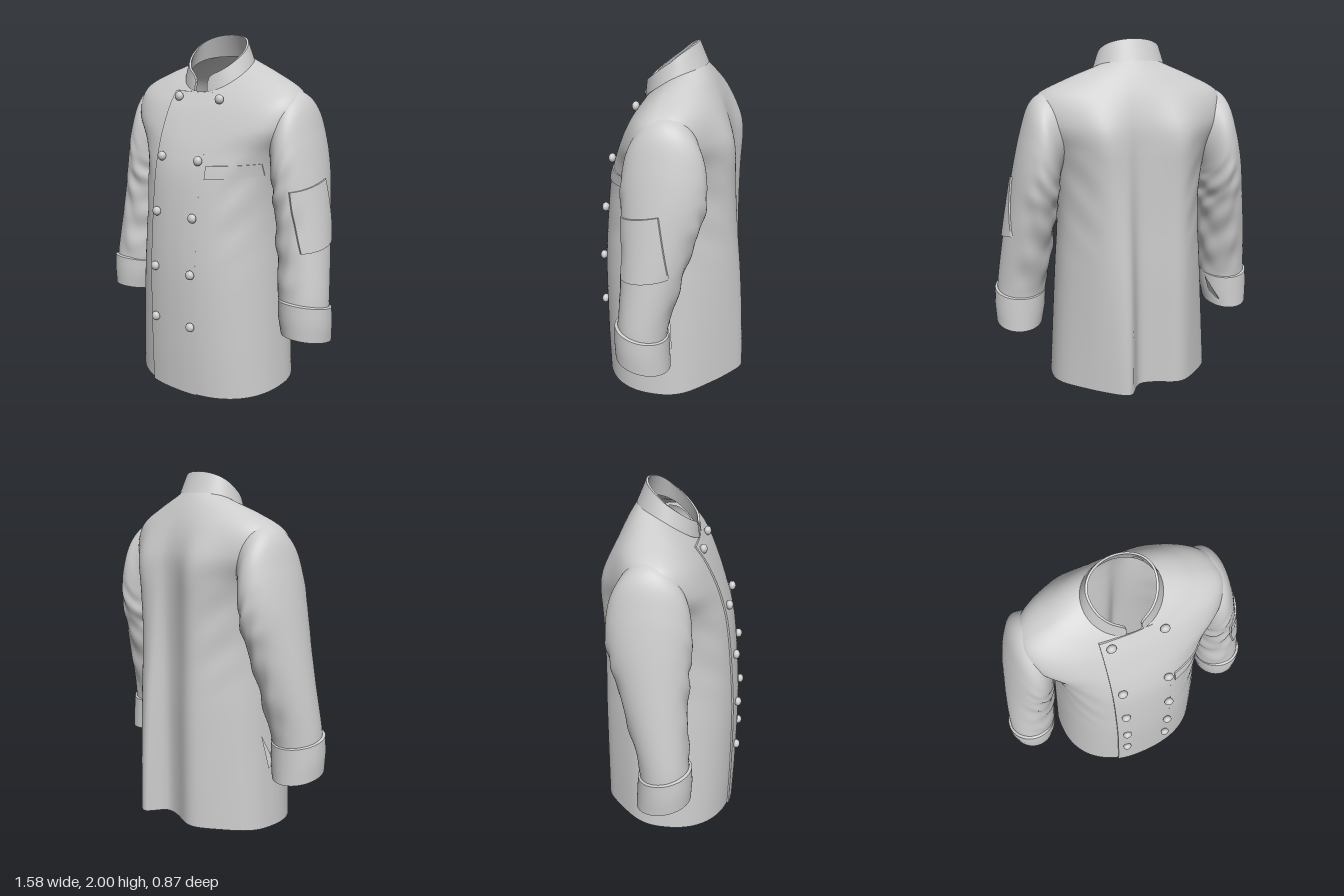
import * as THREE from 'three';
import { mergeVertices, toCreasedNormals } from 'three/addons/utils/BufferGeometryUtils.js';

const cloth = new THREE.MeshStandardMaterial({ color: 0xcccccc, side: THREE.DoubleSide });
cloth.name = 'white cloth';
const { sin, cos, abs, sign, sqrt, exp, PI } = Math;
const clamp = THREE.MathUtils.clamp, smooth = THREE.MathUtils.smoothstep;

// Surface from a rule fn(u, v) -> [x, y, z]; a crease angle keeps edges sharp
function loft(name, fn, nu, nv, crease = 0) {
  const pos = [], idx = [], w = nu + 1;
  for (let j = 0; j <= nv; j++)
    for (let i = 0; i <= nu; i++) pos.push(...fn(i / nu, j / nv));
  for (let j = 0; j < nv; j++)
    for (let i = 0; i < nu; i++) {
      const a = j * w + i, b = a + 1, c = a + w, d = c + 1;
      idx.push(a, b, d, a, d, c);
    }
  let g = new THREE.BufferGeometry();
  g.setAttribute('position', new THREE.Float32BufferAttribute(pos, 3));
  g.setIndex(idx);
  g = mergeVertices(g, 1e-5);
  g.computeVertexNormals();
  if (crease) g = toCreasedNormals(g, crease);
  const mesh = new THREE.Mesh(g, cloth);
  mesh.name = name;
  return mesh;
}

// Smooth (or straight) interpolation through a list of cross-sections
function sample(rings, v, straight = false) {
  const n = rings.length - 1, f = clamp(v, 0, 1) * n, i = Math.min(Math.floor(f), n - 1), t = f - i;
  const at = k => rings[clamp(k, 0, n)];
  return rings[i].map((p1, k) => {
    const p2 = at(i + 1)[k], p0 = at(i - 1)[k], p3 = at(i + 2)[k];
    if (straight) return p1 + (p2 - p1) * t;
    return 0.5 * (2 * p1 + (p2 - p0) * t + (2 * p0 - 5 * p1 + 4 * p2 - p3) * t * t + (3 * p1 - p0 - 3 * p2 + p3) * t ** 3);
  });
}

// Find v in 0..1 where a monotone height rule reaches y
function solve(height, y) {
  const up = height(1) > height(0);
  let lo = 0, hi = 1;
  for (let k = 0; k < 30; k++) {
    const m = (lo + hi) / 2;
    if ((height(m) < y) === up) lo = m; else hi = m;
  }
  return (lo + hi) / 2;
}

// Height around a ring that passes through its front, side and back heights
const lift = (c, yF, yS, yB) => yS + c * (yF - yB) / 2 + c * c * ((yF + yB) / 2 - yS);
const bump = (x, c, l, r) => exp(-(((x - c) / (x < c ? l : r)) ** 2));

// Body sections: half width, front z, back z, front y, side y, back y, squareness
const BODY = [
  [0.475, 0.405, -0.31, 0.01, 0.03, 0.06, 2.3],
  [0.458, 0.412, -0.31, 0.3, 0.3, 0.32, 2.3],
  [0.432, 0.412, -0.31, 0.7, 0.7, 0.7, 2.3],
  [0.412, 0.393, -0.305, 1.0, 1.0, 1.0, 2.3],
  [0.42, 0.362, -0.305, 1.25, 1.23, 1.25, 2.3],
  [0.46, 0.318, -0.305, 1.4, 1.4, 1.42, 2.35],
  [0.545, 0.265, -0.3, 1.52, 1.55, 1.56, 2.4],
  [0.525, 0.218, -0.27, 1.61, 1.695, 1.69, 2.3],
  [0.36, 0.183, -0.222, 1.665, 1.782, 1.8, 2.15],
  [0.2, 0.16, -0.165, 1.7, 1.83, 1.89, 2],
];

function bodyPoint(s, c, v) {
  const [hw, zF, zB, yF, yS, yB, n] = sample(BODY, v);
  const x = hw * sign(s) * abs(s) ** (2 / n), k = abs(c) ** (2 / n);
  const y = lift(c, yF, yS, yB);
  let z = (c > 0 ? zF : zB) * k;
  if (c < 0) { // shoulder blades and hanging folds down the back
    const hang = 1 - smooth(y, 0, 1.9), top = 1 - smooth(y, 1.4, 1.8);
    z -= k * (0.1 * hang * bump(x, 0.1, 0.045, 0.1) + 0.072 * top * (bump(x, -0.23, 0.13, 0.13) + bump(x, 0.23, 0.13, 0.13)));
  }
  // pulls below the armpits
  const pull = smooth(abs(x), 0.2, 0.36) * smooth(y, 0.7, 1.1) * (1 - smooth(y, 1.25, 1.5));
  z += sign(c) * k * 0.007 * pull * sin(26 * y - 30 * abs(x) + (x > 0 ? 1 : 0));
  return [x, y, z];
}

// Point on the chest at a given x and y
function chest(x, y) {
  const at = v => {
    const r = sample(BODY, v), s = sign(x) * clamp(abs(x) / r[0], 0, 1) ** (r[6] / 2);
    return bodyPoint(s, sqrt(1 - s * s), v);
  };
  return [x, y, at(solve(v => at(v)[1], y))[2]];
}

// Sleeve sections: inner x, y, outer x, y, front z, back z, drop towards the back
const SLEEVE = [
  [0.38, 1.34, 0.38, 1.735, 0.1, -0.18, 0],
  [0.4, 1.3, 0.5, 1.718, 0.135, -0.22, 0],
  [0.41, 1.27, 0.572, 1.65, 0.165, -0.25, 0],
  [0.415, 1.22, 0.622, 1.5, 0.18, -0.262, 0],
  [0.425, 1.12, 0.662, 1.33, 0.178, -0.25, 0],
  [0.44, 1.0, 0.695, 1.15, 0.17, -0.205, 0],
  [0.46, 0.82, 0.735, 0.9, 0.17, -0.145, 0.01],
  [0.49, 0.62, 0.768, 0.64, 0.185, -0.085, 0.02],
  [0.515, 0.5, 0.772, 0.5, 0.185, -0.08, 0.03],
];
const CUFF = [
  [0.5, 0.595, 0.768, 0.6, 0.185, -0.08, 0.03],
  [0.494, 0.59, 0.785, 0.595, 0.2, -0.09, 0.03],
  [0.498, 0.5, 0.79, 0.5, 0.204, -0.095, 0.03],
  [0.518, 0.4, 0.785, 0.4, 0.198, -0.1, 0.03],
  [0.528, 0.4, 0.775, 0.4, 0.188, -0.09, 0.03],
  [0.522, 0.54, 0.766, 0.54, 0.18, -0.075, 0.03],
];
function ringPoint([xi, yi, xo, yo, zF, zB, drop], e, f, grow = 0) {
  const t = (1 + e) / 2;
  return [xi + (xo - xi) * t + e * grow, yi + (yo - yi) * t + drop * f, (zF + zB) / 2 + f * ((zF - zB) / 2 + grow)];
}
function sleevePoint(e, f, v) {
  const mask = smooth(v, 0.3, 0.5) * (1 - smooth(v, 0.8, 0.95)) * (1 - smooth(e, 0, 0.8));
  const wave = sin(38 * v + 3 * f + 2 * sin(3 * e)) + 0.6 * sin(61 * v - 5 * f);
  return ringPoint(sample(SLEEVE, v), e, f, 0.005 * mask * wave);
}
// Point on the outside of the sleeve at a given y and z
function arm(y, z) {
  const at = v => {
    const r = sample(SLEEVE, v), f = clamp((z - (r[4] + r[5]) / 2) / ((r[4] - r[5]) / 2), -0.97, 0.97);
    return sleevePoint(sqrt(1 - f * f), f, v);
  };
  return at(solve(v => at(v)[1], y));
}

// Thin raised piece that follows a surface, rim turned down; fade sinks its far side
function plate(name, surf, off, nu, nv, fade = 0) {
  return loft(name, (u, v) => {
    const i = Math.round(u * (nu + 2)), j = Math.round(v * (nv + 2));
    const rim = i === 0 || j === 0 || i === nu + 2 || j === nv + 2;
    const s = clamp((i - 1) / nu, 0, 1), p = surf(s, clamp((j - 1) / nv, 0, 1));
    return rim ? p : p.map((q, k) => q + off[k] * (1 - fade * s));
  }, nu + 2, nv + 2, 0.7);
}

export function createModel() {
  const jacket = new THREE.Group();
  jacket.name = 'jacket';
  jacket.add(loft('body', (u, v) => bodyPoint(sin(2 * PI * u), cos(2 * PI * u), v), 160, 80));

  // Standing collar, open at the front with rounded corners
  const gap = 0.22;
  jacket.add(loft('collar', (u, v) => {
    const a = gap + u * (2 * PI - 2 * gap), s = sin(a), c = cos(a);
    const [h, inset] = sample([[-0.04, -0.004], [0.5, 0], [1, 0.004], [1, 0.016], [0.5, 0.014], [-0.12, 0.012]], v, true);
    const end = Math.min(u, 1 - u) * 22, round = end < 1 ? 0.55 + 0.45 * sqrt(1 - (1 - end) ** 2) : 1;
    const t = h * round, low = lift(c, 1.7, 1.83, 1.89), high = lift(c, 1.785, 1.915, 2.0);
    const w = 0.202 - 0.02 * t - inset, zF = 0.166 - inset, zB = 0.167 - 0.04 * t - inset;
    return [w * s, low + (high - low) * t, (c > 0 ? zF : zB) * c];
  }, 96, 10, 0.7));

  // Overlapping front panel, free on its right edge and merging into the chest
  jacket.add(plate('frontPanel', (u, v) => chest(-0.185 + u * 0.33, 0.005 + v * 1.693),
    [0, 0, 0.009], 24, 60, 1.1));

  // Chest pocket welt
  jacket.add(plate('chestPocket', (u, v) =>
    chest(0.17 + u * 0.24, 1.26 + 0.02 * u + v * (0.072 - 0.006 * u)), [0.002, 0, 0.007], 12, 3));

  // Double row of buttons
  const knob = new THREE.SphereGeometry(0.026, 20, 14);
  [1.67, 1.355, 1.05, 0.735, 0.43].forEach((y, i) => {
    for (const x of [-0.133, i ? 0.128 : 0.153]) {
      const b = new THREE.Mesh(knob, cloth);
      const p = chest(x, y);
      b.position.set(p[0], p[1], p[2] + 0.018);
      b.scale.z = 0.8;
      b.name = 'button';
      jacket.add(b);
    }
  });

  // Sleeves with turned-back cuffs
  for (const side of [1, -1]) {
    const arms = new THREE.Group();
    arms.name = side > 0 ? 'leftSleeve' : 'rightSleeve';
    const tube = fn => (u, v) => {
      const a = 2 * PI * u * side, p = fn(cos(a), sin(a), v);
      return [p[0] * side, p[1], p[2]];
    };
    arms.add(loft('sleeve', tube(sleevePoint), 64, 80));
    arms.add(loft('cuff', tube((e, f, v) => ringPoint(sample(CUFF, v, true), e, f)), 64, 10, 0.7));
    // Loose corner of the cuff
    arms.add(loft('cuffCorner', (u, v) => {
      const t = side > 0 ? u : 1 - u;
      return [side * (0.535 - 0.06 * v + 0.03 * t * (1 - v)), 0.43 + 0.155 * v, -0.01 - 0.05 * v - 0.08 * t * (1 - v)];
    }, 4, 6));
    jacket.add(arms);
  }

  // Patch pocket on the left sleeve
  jacket.add(plate('sleevePocket', (u, v) => {
    const zLow = 0.15 - 0.255 * u, zHigh = 0.165 - 0.215 * u;
    return arm(0.9 + 0.04 * u + v * (0.32 + 0.01 * u), zLow + (zHigh - zLow) * v);
  }, [0.009, 0, 0.003], 12, 12));

  return jacket;
}
